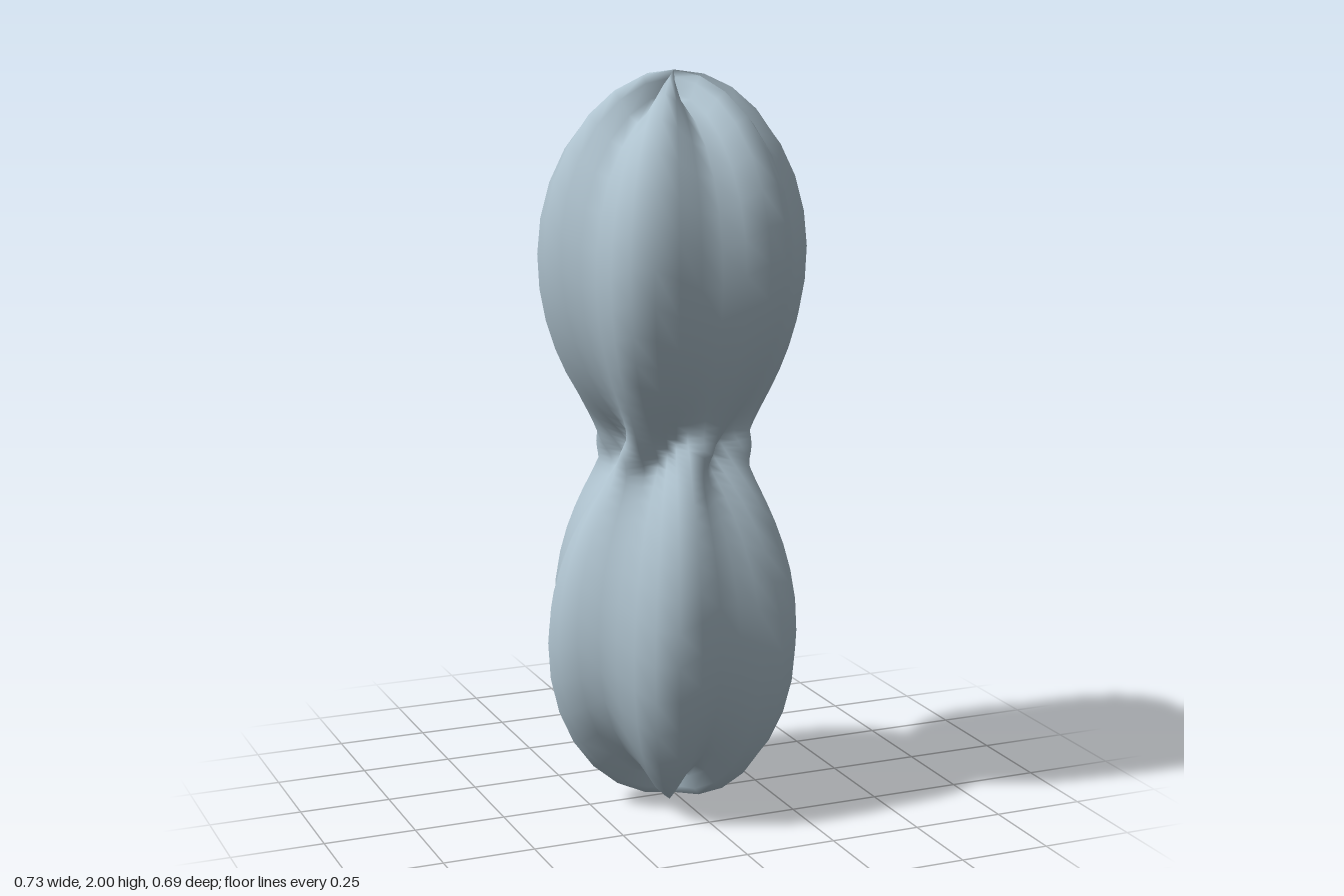
import * as THREE from 'three';

// Radius of the body by polar angle (from +y) and angle round the axis:
// two lobes joined at a narrow waist, with six lengthwise ridges that
// shift by one half-turn of the pattern from each pole to the waist.
function radiusAt(polar, around) {
  const lobes = 0.172 + 0.788 * Math.abs(Math.cos(polar)) ** 3;
  const ridges = -0.04 * Math.cos(6 * around + Math.PI * Math.cos(polar));
  return lobes + ridges;
}

export function createModel() {
  const group = new THREE.Group();
  group.name = 'groovedTwinLobe';
  const paleBlue = new THREE.MeshStandardMaterial({ color: 0xb0c4d0 });
  paleBlue.name = 'paleBlue';

  // A sphere with tiny open poles, so every groove runs right to the axis
  const e = 1e-4;
  const geometry = new THREE.SphereGeometry(1, 36, 36, 0, Math.PI * 2, e, Math.PI - 2 * e);
  const position = geometry.attributes.position;
  const p = new THREE.Vector3();
  for (let i = 0; i < position.count; i++) {
    p.fromBufferAttribute(position, i);
    const polar = Math.acos(THREE.MathUtils.clamp(p.y, -1, 1));
    p.multiplyScalar(radiusAt(polar, Math.atan2(p.z, p.x)));
    position.setXYZ(i, p.x, p.y + 1, p.z);
  }
  geometry.computeVertexNormals();

  const body = new THREE.Mesh(geometry, paleBlue);
  body.name = 'body';
  body.rotation.y = Math.PI; // seam on the left side
  group.add(body);
  return group;
}
